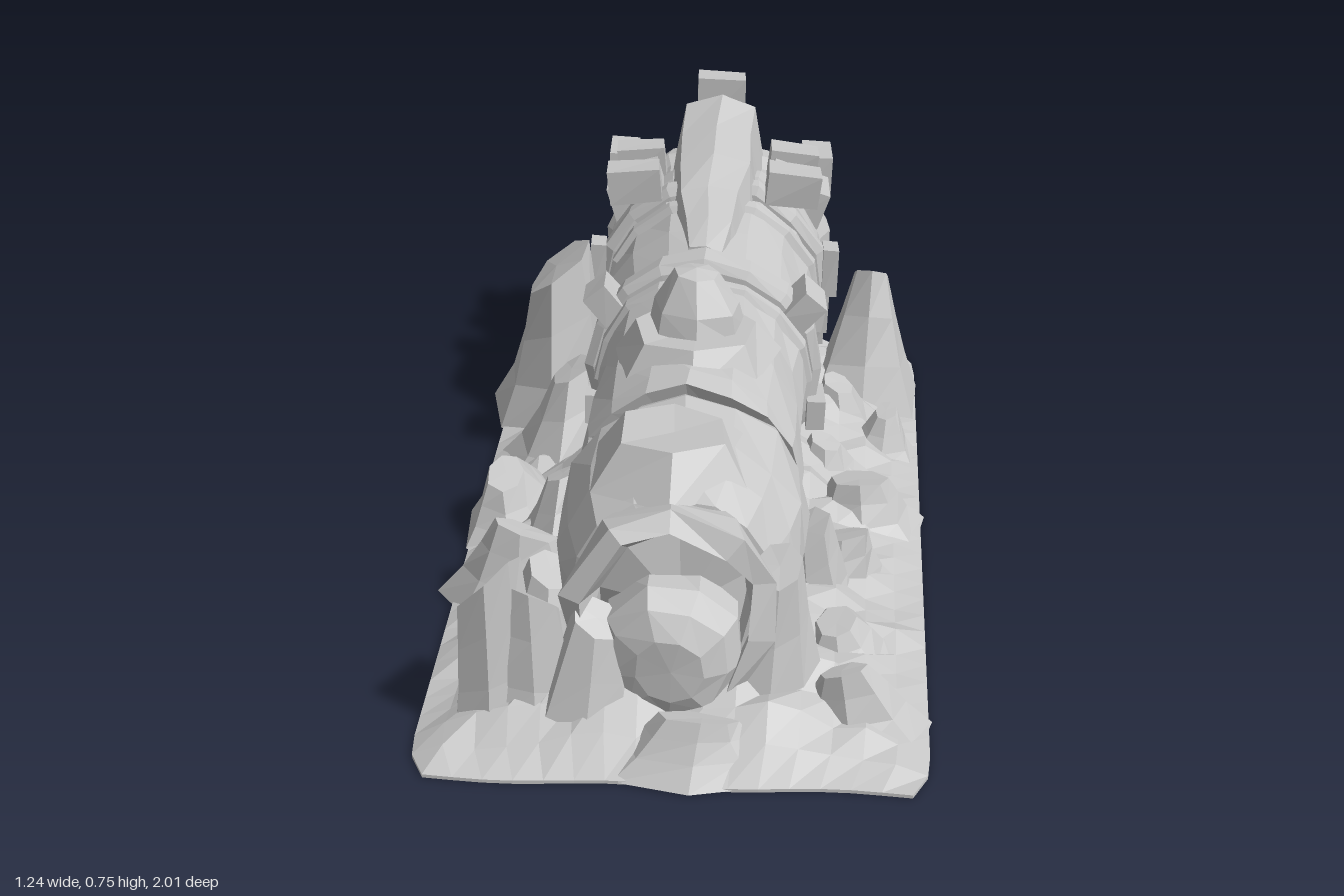
import * as THREE from 'three';

const stone = new THREE.MeshStandardMaterial({ color: 0xc8c8c8, flatShading: true });
stone.name = 'grey stone';

const YAW = -0.166;                        // the relic lies slightly askew
const axisY = z => 0.28 - 0.04 * z;        // height of the tube's axis

// Smooth wobble, so that coincident corners always move together
const wave = (x, y, z) => (Math.sin(x * 19 + z * 11 + y * 7) + Math.sin(y * 23 - x * 13 + z * 17) + Math.sin(z * 29 - y * 9 + x * 5)) / 3;

function reshape(geo, rule) {
  const p = geo.attributes.position, v = new THREE.Vector3();
  for (let i = 0; i < p.count; i++) {
    v.fromBufferAttribute(p, i);
    rule(v);
    p.setXYZ(i, v.x, v.y, v.z);
  }
  geo.computeVertexNormals();
  return geo;
}

const roughen = (geo, a) => reshape(geo, v => {
  const { x, y, z } = v;
  v.x += a * wave(x, y, z);
  v.y += a * wave(y + 2, z, x);
  v.z += a * wave(z + 4, x, y);
});

function add(group, name, geo) {
  const mesh = new THREE.Mesh(geo, stone);
  mesh.name = name;
  group.add(mesh);
  return mesh;
}

// Round section along z; profile is [radius, z] from back to front
function tube(group, name, profile, sides = 16, rough = 0.012) {
  const geo = new THREE.LatheGeometry(profile.map(([r, z]) => new THREE.Vector2(r, z)), sides);
  geo.rotateX(Math.PI / 2);
  roughen(geo, rough);
  return add(group, name, reshape(geo, v => { v.y += axisY(v.z); }));
}

function block(group, name, x, y, z, w, h, d, roll = 0) {
  const mesh = add(group, name, roughen(new THREE.BoxGeometry(w, h, d), 0.006));
  mesh.position.set(x, y, z);
  mesh.rotation.z = roll;
  return mesh;
}

// Faceted crag with a flared foot and a sloping top; taper is the width of its top
function crag(group, i, x, z, w, h, d, taper = 0.35) {
  const geo = new THREE.CylinderGeometry(taper, 1, 1, 7, 3);
  const mesh = add(group, 'crag', reshape(geo, v => {
    const t = v.y + 0.5;
    const k = (1 + 0.25 * wave(v.x * 0.16 + i, t * 0.1, v.z * 0.16 + i * 2)) * (1 + 0.25 * (1 - t) ** 3);
    const lean = 0.2 * t * Math.sin(i * 2.4);
    const slope = 0.3 * t * (v.x * Math.cos(i * 1.7) + v.z * Math.sin(i * 1.7));
    v.set((v.x * k + lean) * w / 2, h * (t + slope), (v.z * k - lean) * d / 2);
  }));
  mesh.position.set(x, 0.003, z);
  mesh.rotation.y = YAW;
}

export function createModel() {
  const model = new THREE.Group();
  model.name = 'ruinedRelic';
  const relic = new THREE.Group();
  relic.name = 'relic';
  relic.rotation.y = YAW;
  model.add(relic);

  // Rubble bed with thin edges, heaped up beside the tube
  const bed = new THREE.BoxGeometry(0.985, 0.008, 1.845, 16, 1, 30);
  add(relic, 'groundBed', reshape(bed, v => {
    const { x, z } = v;
    const edge = Math.min(0.4925 - Math.abs(x), 0.9225 - Math.abs(z));
    const rise = Math.min(1, Math.max(0, edge) / 0.15);
    const heap = 0.045 + 0.1 * Math.exp(-(((Math.abs(x) - 0.14) / 0.15) ** 2)) + (x < 0 ? 0.015 : 0);
    v.y = v.y > 0 ? 0.007 + rise * Math.max(0.01, heap + 0.03 * wave(x, 0, z) + 0.03 * wave(x * 2, 1, z * 2)) : 0;
    v.x *= 1 - 0.07 * Math.max(0, (Math.abs(z) - 0.85) / 0.0725);
    v.z += 0.0125 + 0.006 * Math.sin(x * 14);
  }));

  // Nose dome and the broken collar around it
  tube(relic, 'noseDome', [[0, 0.6], [0.145, 0.6], [0.145, 0.76], [0.12, 0.8], [0.07, 0.825], [0, 0.83]], 9)
    .position.y = -0.065;
  tube(relic, 'noseCollar', [[0, 0.62], [0.18, 0.62], [0.2, 0.68], [0.215, 0.75], [0.175, 0.775], [0.15, 0.7], [0, 0.7]], 10, 0.03)
    .position.y = 0.01;

  // Front, middle and rear barrels with the gap between the first two
  tube(relic, 'frontBarrel', [[0, 0.34], [0.19, 0.34], [0.235, 0.325], [0.25, 0.36], [0.25, 0.5], [0.24, 0.58], [0.2, 0.65], [0.12, 0.67], [0, 0.67]]);
  tube(relic, 'innerCore', [[0, 0.2], [0.12, 0.2], [0.12, 0.38], [0, 0.38]], 10);
  tube(relic, 'middleBarrel', [[0, -0.22], [0.23, -0.22], [0.228, -0.08], [0.232, 0.08], [0.23, 0.2], [0.222, 0.255], [0.16, 0.235], [0, 0.22]]);
  tube(relic, 'rearBarrel', [[0, -0.6], [0.245, -0.6], [0.24, -0.45], [0.235, -0.28], [0, -0.28]]);

  // Raised bands: [back z, front z, radius]
  [[-0.215, -0.165, 0.24], [-0.3, -0.225, 0.262], [-0.59, -0.54, 0.258], [-0.66, -0.605, 0.28], [-0.75, -0.68, 0.27]]
    .forEach(([a, b, r]) => tube(relic, 'band', [[0, a], [r - 0.02, a], [r, a + 0.012], [r, b - 0.012], [r - 0.02, b], [0, b]], 16, 0.008));

  // Rear housing ending in a rimmed bowl
  tube(relic, 'rearHousing', [[0, -0.8], [0.07, -0.82], [0.17, -0.82], [0.2, -0.885], [0.23, -0.905], [0.265, -0.89], [0.275, -0.83],
    [0.255, -0.8], [0.26, -0.72], [0.25, -0.58], [0, -0.58]], 14, 0.008);

  // Top plates and the nub
  const frontPlate = add(relic, 'frontTopPlate', roughen(new THREE.CylinderGeometry(0.11, 0.18, 0.08, 6), 0.012));
  frontPlate.position.set(-0.015, 0.482, 0.5);
  const middlePlate = add(relic, 'middleTopPlate', roughen(new THREE.CylinderGeometry(0.13, 0.18, 0.07, 7), 0.01));
  middlePlate.position.set(0, 0.485, 0.04);
  const nub = new THREE.LatheGeometry([[0.105, 0], [0.09, 0.06], [0.045, 0.135], [0, 0.148]].map(p => new THREE.Vector2(...p)), 7);
  add(relic, 'topNub', roughen(nub, 0.008)).position.set(0, 0.5, 0.01);

  // Wedge fin climbing to the rear, with its end block
  const fin = new THREE.BoxGeometry(1, 1, 1, 2, 1, 5);
  add(relic, 'topFin', roughen(reshape(fin, v => {
    const t = 0.5 - v.z;                                  // 0 front, 1 back
    const half = 0.05 + 0.065 * Math.min(1, t * 1.6);
    const top = v.y > 0;
    v.x *= 2 * half * (top ? 0.72 : 1);
    v.y = top ? 0.535 + 0.17 * t - 0.25 * Math.abs(v.x) : 0.45 + 0.04 * t;
    v.z = -0.34 - 0.5 * t;
  }), 0.01));
  block(relic, 'finEndBlock', 0.004, 0.685, -0.875, 0.11, 0.13, 0.06);

  // Mirrored clamps and studs: [x, y, z, width, height, depth, outward roll]
  const fittings = [
    ['rearStud', 0.235, 0.5, -0.915, 0.07, 0.1, 0.12, 0], ['rearStud', 0.235, 0.13, -0.915, 0.07, 0.1, 0.12, 0],
    ['studArm', 0.22, 0.47, -0.8, 0.07, 0.09, 0.14, 0.3], ['studArm', 0.23, 0.15, -0.8, 0.06, 0.08, 0.14, 0],
    ['topClamp', 0.185, 0.575, -0.62, 0.12, 0.08, 0.075, 0.1], ['topClamp', 0.18, 0.57, -0.77, 0.11, 0.08, 0.07, 0.1],
    ['clampBridge', 0.155, 0.56, -0.7, 0.05, 0.06, 0.16, 0.3], ['sideClamp', 0.275, 0.36, -0.63, 0.035, 0.12, 0.06, 0],
    ['bandLug', 0.22, 0.44, -0.26, 0.06, 0.08, 0.1, 0.7], ['bandLug', 0.25, 0.19, -0.25, 0.04, 0.07, 0.1, 0],
  ];
  for (const [name, x, y, z, w, h, d, roll] of fittings)
    for (const s of [-1, 1]) block(relic, name, s * x, y, z, w, h, d, -s * roll);

  // Crags: [x, z, width, height, depth, taper]
  [[-0.27, -0.63, 0.27, 0.37, 0.34, 0.55], [0.47, -0.62, 0.24, 0.31, 0.36, 0.4], [0.4, -0.43, 0.2, 0.14, 0.24], [0.46, -0.3, 0.15, 0.11, 0.16],
    [-0.46, 0.67, 0.16, 0.31, 0.17, 0.75], [-0.37, 0.67, 0.22, 0.28, 0.2, 0.5], [-0.29, 0.75, 0.22, 0.26, 0.18, 0.4],
    [0.2, 0.35, 0.15, 0.2, 0.15, 0.65], [0.27, 0.27, 0.2, 0.13, 0.2, 0.6], [-0.4, 0.25, 0.26, 0.17, 0.18, 0.5], [-0.39, -0.08, 0.22, 0.14, 0.34],
    [-0.28, -0.32, 0.24, 0.24, 0.32], [0.37, 0.01, 0.24, 0.12, 0.28, 0.5], [0.31, -0.15, 0.2, 0.13, 0.24], [0.06, 0.73, 0.24, 0.34, 0.18],
    [0.22, 0.77, 0.24, 0.14, 0.17], [-0.1, 0.86, 0.3, 0.1, 0.16, 0.5], [-0.34, 0.46, 0.24, 0.2, 0.28],
    [0.24, 0.54, 0.22, 0.1, 0.28], [-0.32, 0.08, 0.2, 0.19, 0.32]]
    .forEach((c, i) => crag(model, i, ...c));

  return model;
}
